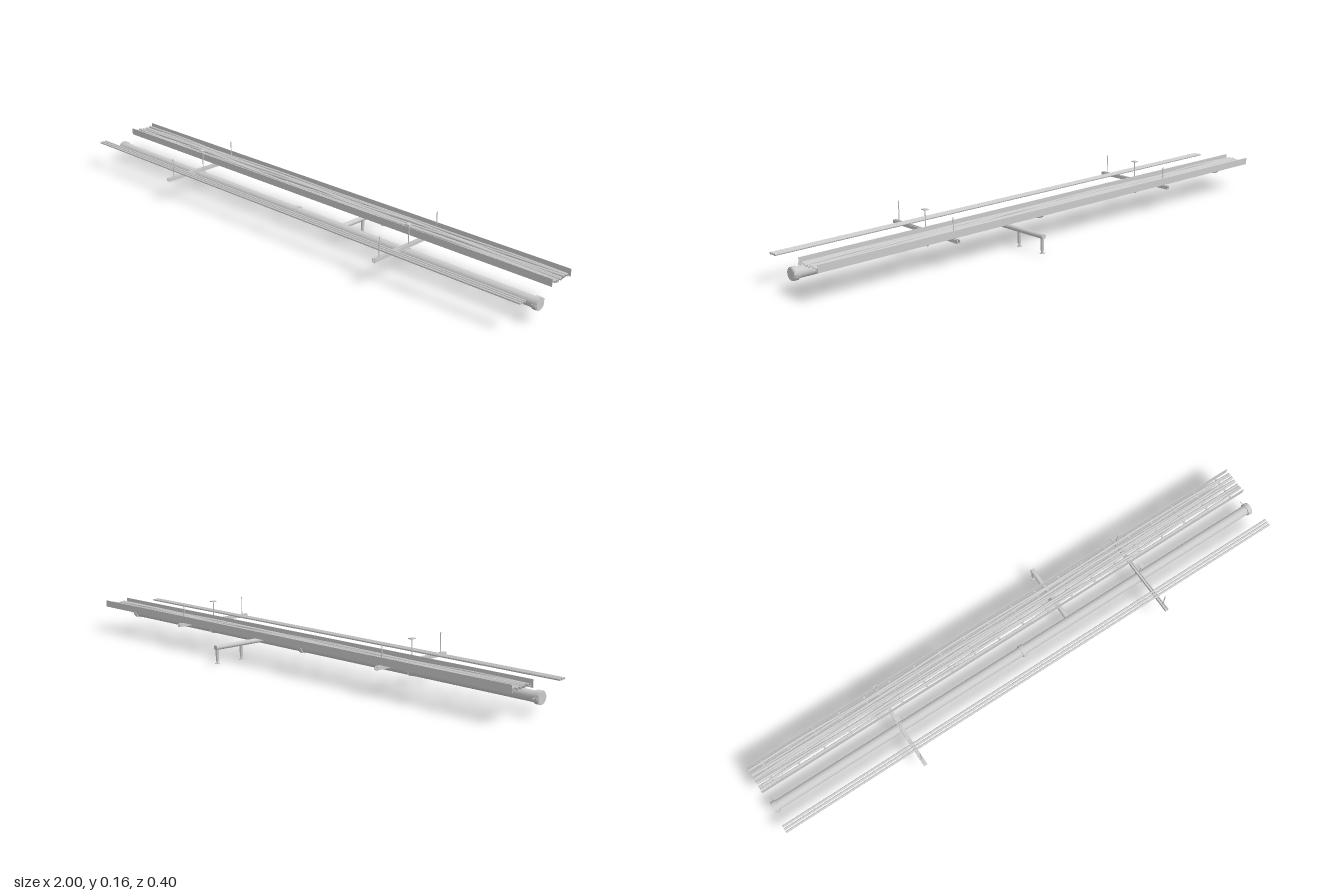
import * as THREE from 'three';

const material = new THREE.MeshStandardMaterial({ color: 0xcccccc, side: THREE.DoubleSide });
const AXIS = { x: [0, 0, Math.PI / 2], y: [0, 0, 0], z: [Math.PI / 2, 0, 0] };

export function createModel() {
  const model = new THREE.Group();
  model.name = 'ceilingServices';

  const add = (name, geometry, x = 0, y = 0, z = 0, parent = model) => {
    const mesh = new THREE.Mesh(geometry, material);
    mesh.name = name;
    mesh.position.set(x, y, z);
    parent.add(mesh);
    return mesh;
  };
  const box = (name, w, h, d, x, y, z, parent) =>
    add(name, new THREE.BoxGeometry(w, h, d), x, y, z, parent);
  const rod = (name, axis, r, length, x, y, z, sides = 24, parent) => {
    const mesh = add(name, new THREE.CylinderGeometry(r, r, length, sides), x, y, z, parent);
    mesh.rotation.set(...AXIS[axis]);
    return mesh;
  };

  // Main pipe with a grooved coupling in the middle and at both ends
  const pipeY = 0.059, pipeZ = 0.036;
  rod('mainPipe', 'x', 0.0175, 1.98, 0, pipeY, pipeZ, 32);
  for (const x of [-0.988, 0, 0.988]) {
    const coupling = new THREE.Group();
    coupling.name = 'pipeCoupling';
    model.add(coupling);
    rod('couplingRing', 'x', 0.0215, 0.016, x, pipeY, pipeZ, 32, coupling);
    for (const side of [-1, 1])
      box('couplingEar', 0.012, 0.005, 0.004, x, pipeY, pipeZ + side * 0.0215, coupling);
  }
  for (const side of [-1, 1]) {
    rod('endCap', 'x', 0.0195, 0.008, side * 0.994, pipeY, pipeZ, 32);
    rod('endBolt', 'z', 0.0015, 0.022, side * 0.988, pipeY, 0.01, 8);
  }

  // Branch line with two sprinkler drops
  rod('branchPipe', 'z', 0.0085, 0.219, 0.2, pipeY, -0.0895);
  for (const z of [-0.081, -0.191]) {
    const drop = new THREE.Group();
    drop.name = 'sprinklerDrop';
    model.add(drop);
    rod('dropPipe', 'y', 0.0058, 0.044, 0.2, 0.034, z, 20, drop);
    rod('sprinklerBody', 'y', 0.0036, 0.01, 0.2, 0.0075, z, 16, drop);
    rod('sprinklerPlate', 'y', 0.0085, 0.0015, 0.2, 0.0015, z, 16, drop);
  }

  // Trapeze hangers: slotted channel, two threaded rods and a pipe hanger
  for (const x of [-0.5, 0.5]) {
    const hanger = new THREE.Group();
    hanger.name = 'trapezeHanger';
    model.add(hanger);
    box('channelWeb', 0.012, 0.002, 0.332, x, 0.0845, 0.036, hanger);
    for (const side of [-1, 1]) {
      box('channelSide', 0.002, 0.012, 0.332, x + side * 0.005, 0.0895, 0.036, hanger);
      box('channelLip', 0.0035, 0.0015, 0.332, x + side * 0.0043, 0.0948, 0.036, hanger);
    }
    for (const z of [0.177, -0.105])
      rod('threadedRod', 'y', 0.0017, 0.08, x, 0.123, z, 10, hanger);
    rod('pipeRod', 'y', 0.0017, 0.082, x, 0.12, pipeZ, 10, hanger);
    box('ceilingPlate', 0.016, 0.003, 0.02, x, 0.1615, pipeZ, hanger);
    const band = add('pipeBand', new THREE.TorusGeometry(0.0185, 0.0017, 8, 32), x, pipeY, pipeZ, hanger);
    band.rotation.y = Math.PI / 2;
  }

  // Three small conduits
  for (const z of [0.12, 0.131, 0.142])
    rod('conduit', 'x', 0.0038, 2, 0, 0.0995, z, 16);

  // Ladder cable tray
  const tray = new THREE.Group();
  tray.name = 'cableTray';
  model.add(tray);
  for (const z of [-0.0148, -0.1138])
    box('trayRail', 2, 0.025, 0.0016, 0, 0.11, z, tray);
  for (let i = 0; i < 20; i++)
    box('trayRung', 0.008, 0.003, 0.098, -0.95 + i * 0.1, 0.0995, -0.0643, tray);

  // Loosely laid cables wandering along the tray
  for (let i = 0; i < 8; i++) {
    const points = [];
    for (let j = 0; j <= 10; j++) {
      const wander = Math.sin(j * 1.7 + i * 2.3);
      points.push(new THREE.Vector3(-1 + j * 0.2,
        0.1075 + 0.0018 * Math.sin(j * 2.1 + i),
        -0.026 - i * 0.0108 + 0.0035 * wander));
    }
    const r = 0.0038 + 0.0008 * (i % 3);
    add('cable', new THREE.TubeGeometry(new THREE.CatmullRomCurve3(points), 60, r, 10), 0, 0, 0, tray);
  }

  return model;
}
